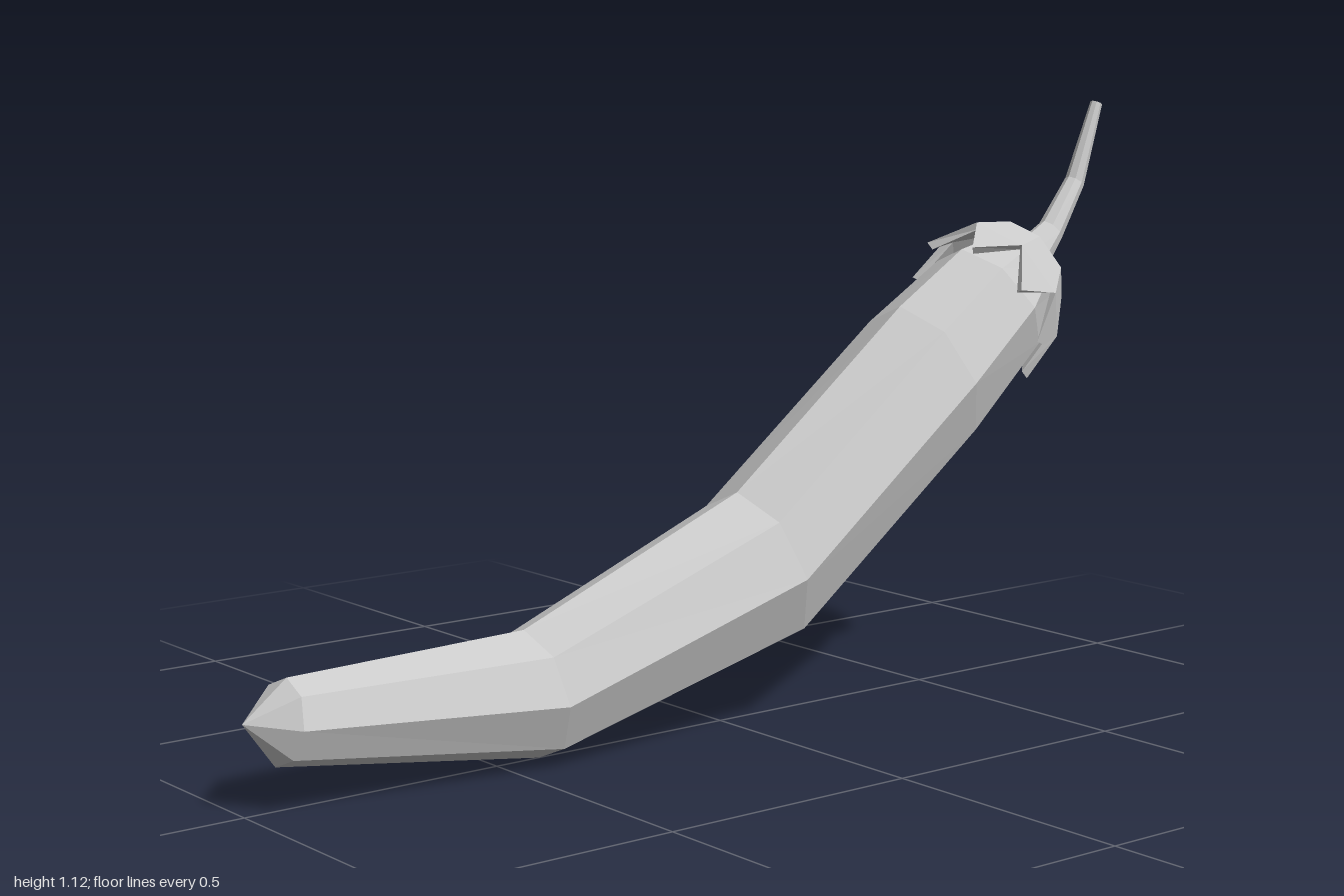
import * as THREE from 'three';

const SIDES = 8;

// Ring defined by its top and bottom points in the side profile: [topX, topY, bottomX, bottomY, z]
function ringPoint([tx, ty, bx, by, z = 0], k, shrink = 1) {
  const a = (k / SIDES) * Math.PI * 2;
  const ux = (tx - bx) / 2, uy = (ty - by) / 2, r = Math.hypot(ux, uy) * shrink;
  const c = Math.cos(a) * shrink;
  return [(tx + bx) / 2 + ux * c, (ty + by) / 2 + uy * c, z + Math.sin(a) * r];
}

function makeMesh(name, polygons) {
  const positions = [];
  for (const p of polygons) {
    for (let i = 1; i < p.length - 1; i++) positions.push(...p[0], ...p[i], ...p[i + 1]);
  }
  const geometry = new THREE.BufferGeometry();
  geometry.setAttribute('position', new THREE.Float32BufferAttribute(positions, 3));
  geometry.computeVertexNormals();
  const material = new THREE.MeshStandardMaterial({ color: 0xcccccc, flatShading: true });
  const mesh = new THREE.Mesh(geometry, material);
  mesh.name = name;
  return mesh;
}

// Skin a row of rings, optionally closing the start to a point
function loft(name, rings, tip) {
  const polygons = [];
  const last = rings[rings.length - 1];
  for (let k = 0; k < SIDES; k++) {
    if (tip) polygons.push([tip, ringPoint(rings[0], k + 1), ringPoint(rings[0], k)]);
    for (let i = 0; i < rings.length - 1; i++) {
      polygons.push([
        ringPoint(rings[i], k), ringPoint(rings[i], k + 1),
        ringPoint(rings[i + 1], k + 1), ringPoint(rings[i + 1], k),
      ]);
    }
  }
  polygons.push(Array.from({ length: SIDES }, (_, k) => ringPoint(last, k)));
  return makeMesh(name, polygons);
}

// Ring from a centre, radius and heading angle
function tiltedRing(x, y, z, r, degrees) {
  const a = THREE.MathUtils.degToRad(degrees);
  const ux = -Math.sin(a) * r, uy = Math.cos(a) * r;
  return [x + ux, y + uy, x - ux, y - uy, z];
}

export function createModel() {
  const group = new THREE.Group();
  group.name = 'vegetable';

  // Curved body, from the blunt tip up to the shoulder
  group.add(loft('body', [
    [-0.915, 0.228, -0.94, 0.08],
    [-0.44, 0.24, -0.41, 0.005],
    [0.04, 0.43, 0.125, 0.14],
    [0.44, 0.745, 0.56, 0.47],
    [0.6, 0.845, 0.745, 0.63],
    [0.725, 0.875, 0.805, 0.73],
  ], [-1, 0.162, 0]));

  // Leafy cap: flat crown with eight pointed, slightly thick petals
  const crown = [0.73, 0.892, 0.82, 0.72];
  const shoulder = [0.64, 0.895, 0.78, 0.635];
  const tips = [0.562, 0.866, 0.726, 0.578];
  const cap = new THREE.Group();
  cap.name = 'cap';
  cap.add(makeMesh('crown', [Array.from({ length: SIDES }, (_, k) => ringPoint(crown, k))]));
  for (let k = 0; k < SIDES; k++) {
    const outline = (s) => [
      ringPoint(crown, k, s), ringPoint(shoulder, k, s), ringPoint(tips, k + 0.5, s),
      ringPoint(shoulder, k + 1, s), ringPoint(crown, k + 1, s),
    ];
    const [a, b, t, c, d] = outline(1);
    const [ai, bi, ti, ci, di] = outline(0.9);
    cap.add(makeMesh('petal', [
      [a, b, c, d], [b, t, c],
      [ai, di, ci, bi], [bi, ci, ti],
      [b, bi, ti, t], [t, ti, ci, c],
    ]));
  }
  group.add(cap);

  // Bent, tapering stem
  group.add(loft('stem', [
    tiltedRing(0.77, 0.803, 0, 0.045, 28),
    tiltedRing(0.85, 0.866, -0.008, 0.027, 40),
    tiltedRing(0.928, 0.96, -0.02, 0.02, 56),
    tiltedRing(0.986, 1.116, -0.02, 0.012, 68),
  ]));

  return group;
}
